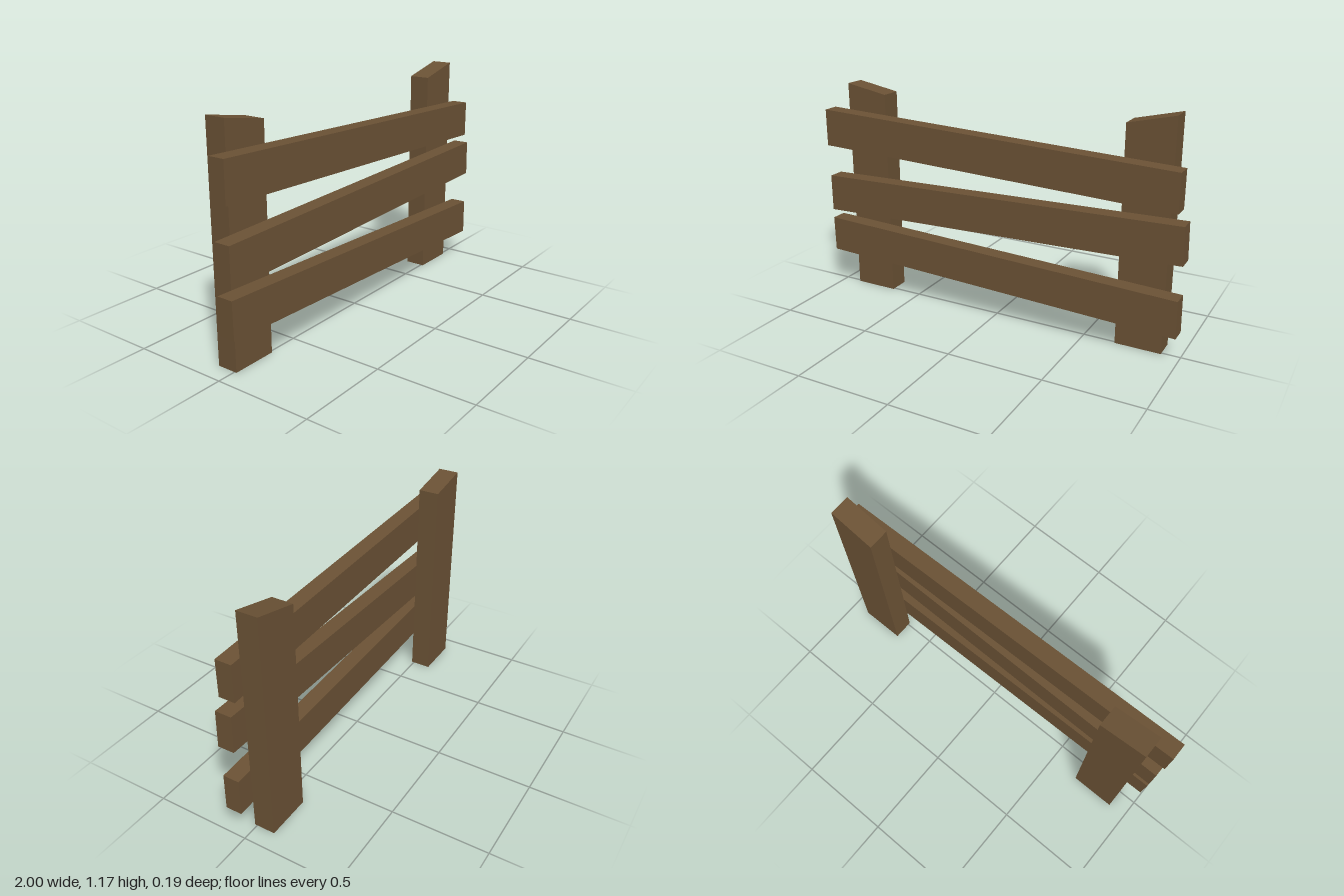
import * as THREE from 'three';

const wood = new THREE.MeshStandardMaterial({ color: 0x6b5235, side: THREE.DoubleSide });
wood.name = 'brown wood';

// Plank whose front outline is a four-cornered shape: [x, y] top left, top right, bottom right, bottom left
function plank(name, [tl, tr, br, bl], zBack, zFront, openBottom = false) {
  const geometry = new THREE.BoxGeometry(1, 1, 1);
  const pos = geometry.attributes.position;
  for (let i = 0; i < pos.count; i++) {
    const right = pos.getX(i) > 0;
    const corner = pos.getY(i) > 0 ? (right ? tr : tl) : (right ? br : bl);
    pos.setXYZ(i, corner[0], corner[1], pos.getZ(i) > 0 ? zFront : zBack);
  }
  // The underside is the fourth face of the box
  if (openBottom) {
    const index = Array.from(geometry.index.array);
    index.splice(18, 6);
    geometry.setIndex(index);
    geometry.clearGroups();
  }
  geometry.computeVertexNormals();
  const mesh = new THREE.Mesh(geometry, wood);
  mesh.name = name;
  return mesh;
}

export function createModel() {
  const fence = new THREE.Group();
  fence.name = 'fence';
  const back = -0.097, joint = 0.012, front = 0.097;

  // Upright posts with slanted tops, hollow underneath
  fence.add(
    plank('rightPost', [[-0.903, 1.16], [-0.667, 1.118], [-0.667, 0], [-0.903, 0]], back, joint, true),
    plank('leftPost', [[0.668, 1.118], [0.905, 1.175], [0.905, 0], [0.668, 0]], back, joint, true)
  );

  // Crooked rails across the front
  fence.add(
    plank('topRail', [[-1, 1.022], [0.962, 0.945], [0.962, 0.753], [-1, 0.824]], joint, front),
    plank('middleRail', [[-0.993, 0.652], [0.995, 0.7], [1, 0.51], [-0.993, 0.455]], joint, front),
    plank('bottomRail', [[-0.993, 0.406], [0.99, 0.333], [0.993, 0.142], [-0.99, 0.217]], joint, front)
  );
  return fence;
}
